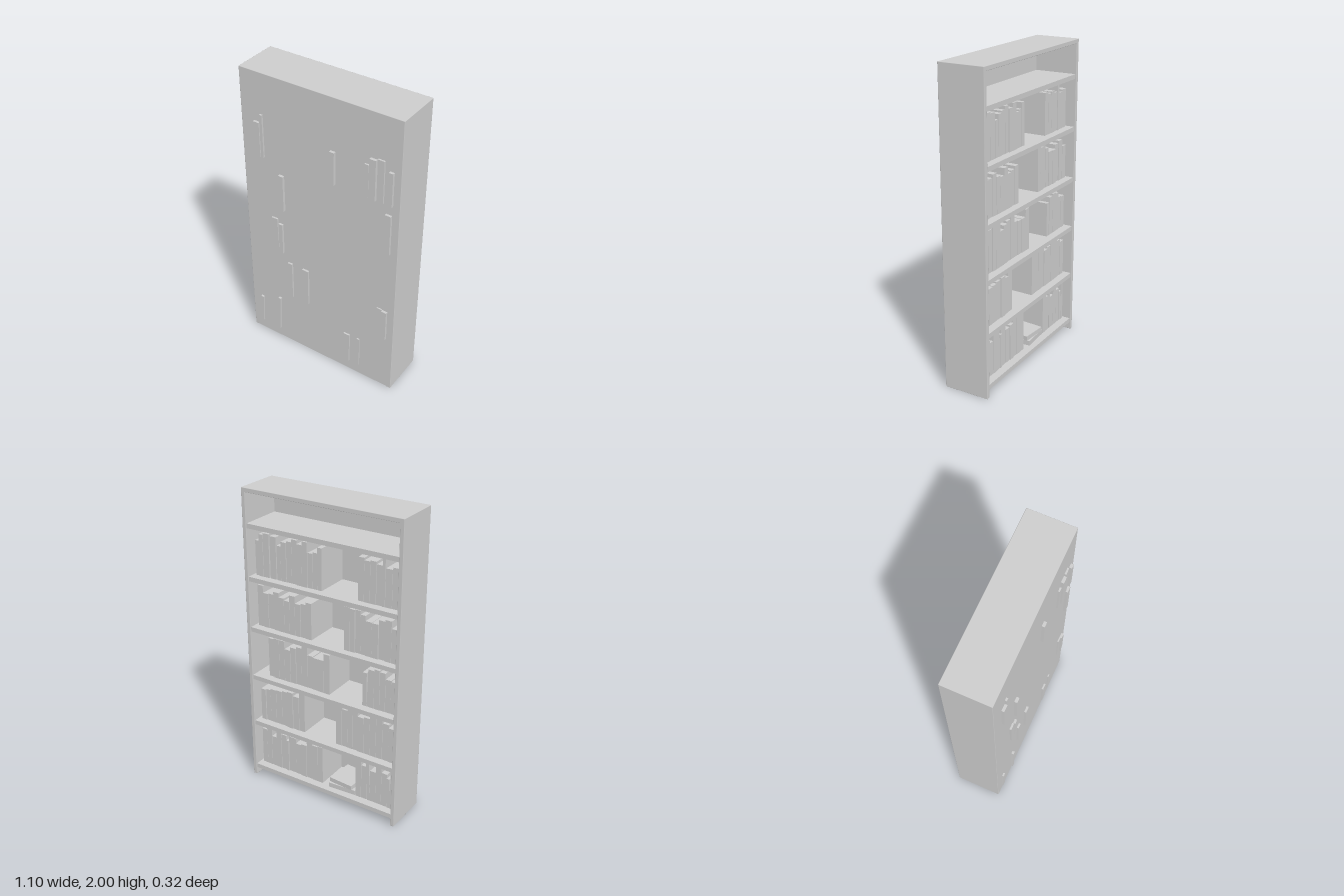
import * as THREE from 'three';
import { RoundedBoxGeometry } from 'three/addons/geometries/RoundedBoxGeometry.js';

// x spans filled with books, and fixed books [x0, x1, height, lean] that reach through the back panel
const ROWS = [
  { y: 0.08, spans: [[0.02, 0.505], [-0.505, -0.23]],
    fixed: [[0.29, 0.31, 0.23], [0.19, 0.235, 0.23], [-0.335, -0.313, 0.275, -0.05], [-0.485, -0.46, 0.215, -0.045]] },
  { y: 0.42, spans: [[0.16, 0.505], [-0.505, -0.08]],
    fixed: [[0.465, 0.502, 0.225], [0.428, 0.464, 0.23], [-0.125, -0.08, 0.275], [-0.24, -0.205, 0.275]] },
  { y: 0.76, spans: [[-0.035, 0.43], [-0.505, -0.27]],
    fixed: [[-0.30, -0.27, 0.225], [-0.35, -0.305, 0.255, 0.03]] },
  { y: 1.10, spans: [[0.095, 0.505], [-0.505, -0.14]],
    fixed: [[0.46, 0.502, 0.275], [-0.285, -0.25, 0.255]] },
  { y: 1.44, spans: [[0.02, 0.505], [-0.505, -0.23]],
    fixed: [[0.475, 0.505, 0.225], [0.4, 0.445, 0.28], [0.35, 0.395, 0.27], [0.315, 0.345, 0.22],
      [0.085, 0.12, 0.22], [-0.41, -0.39, 0.29], [-0.455, -0.41, 0.235]] },
];

export function createModel() {
  const group = new THREE.Group();
  const grey = new THREE.MeshStandardMaterial({ color: 0xcccccc });
  grey.name = 'grey';

  let seed = 7;
  const rand = () => (seed = (seed * 16807) % 2147483647) / 2147483647;

  const add = (name, geometry, x, y, z, parent = group) => {
    const mesh = new THREE.Mesh(geometry, grey);
    mesh.name = name;
    mesh.position.set(x, y, z);
    parent.add(mesh);
    return mesh;
  };

  // Case: sides, top and thin panel closing the +z side
  for (const s of [-1, 1]) {
    add(s > 0 ? 'leftSide' : 'rightSide', new RoundedBoxGeometry(0.026, 2, 0.3, 1, 0.003), s * 0.536, 1, -0.012);
  }
  add('topBoard', new RoundedBoxGeometry(1.098, 0.028, 0.3, 1, 0.003), 0, 1.986, -0.012);
  add('panel', new THREE.BoxGeometry(1.09, 1.992, 0.014), 0, 1, 0.131);

  // Shelves, the lowest standing clear of the floor
  for (let i = 0; i < 6; i++) {
    add('shelf', new THREE.BoxGeometry(1.05, 0.03, 0.285), 0, 0.065 + i * 0.34, -0.013);
  }

  // One upright book standing on y between x0 and x1
  const book = (parent, y, x0, x1, h, back, lean = 0) => {
    const front = -0.1 - rand() * 0.008;
    const geometry = new THREE.BoxGeometry(x1 - x0 - 0.0015, h, back - front);
    const mesh = add('book', geometry, (x0 + x1) / 2, y + h / 2, (back + front) / 2, parent);
    mesh.rotation.z = lean;
  };

  ROWS.forEach(({ y, spans, fixed }) => {
    const row = new THREE.Group();
    row.name = 'bookRow';
    group.add(row);
    fixed.forEach(([x0, x1, h, lean]) => book(row, y, x0, x1, h, 0.146 + rand() * 0.012, lean));

    // Fill the rest of each span with books of varied width and height
    for (const [lo, hi] of spans) {
      const inside = fixed.filter((b) => b[0] >= lo - 0.01 && b[1] <= hi + 0.01).sort((a, b) => a[0] - b[0]);
      let start = lo;
      for (const [x0, x1] of [...inside, [hi, hi]]) {
        const room = x0 - start;
        if (room > 0.012) {
          const n = Math.max(1, Math.round(room / 0.042));
          for (let i = 0; i < n; i++) {
            book(row, y, start + (room * i) / n, start + (room * (i + 1)) / n, 0.215 + rand() * 0.07, 0.132);
          }
        }
        start = x1;
      }
    }
  });

  // Two books lying flat in the gap on the lowest shelf
  add('lyingBook', new THREE.BoxGeometry(0.19, 0.032, 0.2), -0.125, 0.096, -0.01).rotation.y = 0.06;
  add('lyingBook', new THREE.BoxGeometry(0.17, 0.03, 0.19), -0.125, 0.127, -0.01).rotation.y = -0.08;

  return group;
}
